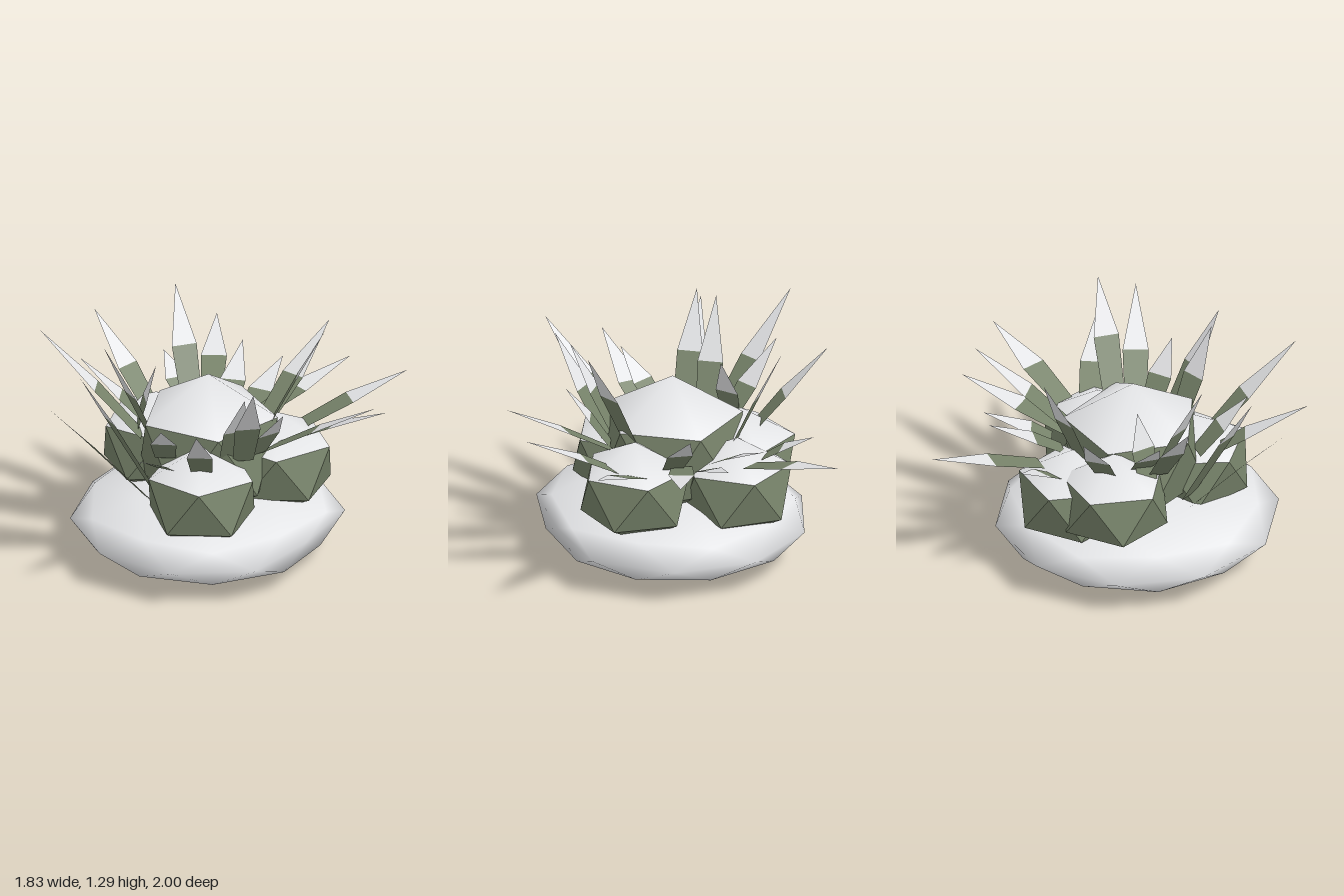
import * as THREE from 'three';
import { mergeVertices } from 'three/addons/utils/BufferGeometryUtils.js';

const snow = new THREE.MeshStandardMaterial({ color: 0xe6e7e9, side: THREE.DoubleSide });
snow.name = 'snow';
const leaf = new THREE.MeshStandardMaterial({ color: 0x77836a, side: THREE.DoubleSide });
leaf.name = 'leafGreen';

// Icosahedron standing on a corner, one upper-ring corner towards +x
function uprightIcosahedron(detail) {
  const geo = new THREE.IcosahedronGeometry(1, detail);
  geo.rotateZ(-Math.atan(2 / (1 + Math.sqrt(5))));
  return geo;
}

function geometryFrom(points) {
  const geo = new THREE.BufferGeometry();
  geo.setAttribute('position', new THREE.Float32BufferAttribute(points, 3));
  geo.computeVertexNormals();
  return geo;
}

function addMesh(parent, name, geo, material) {
  const mesh = new THREE.Mesh(geo, material);
  mesh.name = name;
  parent.add(mesh);
  return mesh;
}

// Flattened snow mound, with one rim corner pulled in
function makeMound() {
  const geo = uprightIcosahedron(1);
  const p = geo.attributes.position;
  for (let i = 0; i < p.count; i++) {
    if (p.getX(i) > 0.9 && p.getZ(i) > 0.25 && Math.abs(p.getY(i)) < 0.1) {
      p.setXYZ(i, p.getX(i) * 0.86, p.getY(i), p.getZ(i) * 0.86);
    }
  }
  return geo.scale(0.715, 0.2, 0.75);
}

// Faceted green bush with a smooth snow cap on its top five faces
function makeBush(x, y, z, radius, height, degrees) {
  const bush = new THREE.Group();
  bush.name = 'bush';
  const geo = uprightIcosahedron(0);
  geo.rotateY(-THREE.MathUtils.degToRad(degrees));
  const p = geo.attributes.position.array;
  const cap = [], body = [];
  for (let i = 0; i < p.length; i += 9) {
    const middle = (p[i + 1] + p[i + 4] + p[i + 7]) / 3;
    const target = middle > 0.5 ? cap : body;
    for (let k = 0; k < 9; k += 3) {
      target.push(p[i + k] * radius, p[i + k + 1] * height, p[i + k + 2] * radius);
    }
  }
  const capGeo = geometryFrom(cap);
  capGeo.deleteAttribute('normal');
  const smoothCap = mergeVertices(capGeo, 1e-4);
  smoothCap.computeVertexNormals();
  addMesh(bush, 'bushSnowCap', smoothCap, snow);
  addMesh(bush, 'bushBody', geometryFrom(body), leaf);
  bush.position.set(x, y, z);
  return bush;
}

// Flat blade: green strip from the root to the knee, then a snowy point
function makeBlade([rootX, rootZ], tip, knee = 0.45, rootY = 0.64) {
  const blade = new THREE.Group();
  blade.name = 'blade';
  const a = new THREE.Vector3(rootX, rootY, rootZ);
  const c = new THREE.Vector3(...tip);
  const b = a.clone().lerp(c, knee);
  b.y += 0.01;
  const dir = c.clone().sub(a);
  const side = new THREE.Vector3(dir.z, 0, -dir.x).normalize();
  const at = (v, s) => v.clone().addScaledVector(side, s).toArray();
  const a0 = at(a, -0.055), a1 = at(a, 0.055);
  const b0 = at(b, -0.068), b1 = at(b, 0.068);
  addMesh(blade, 'bladeStem', geometryFrom([a0, b1, a1, a0, b0, b1].flat()), leaf);
  addMesh(blade, 'bladeTip', geometryFrom([b0, c.toArray(), b1].flat()), snow);
  return blade;
}

export function createModel() {
  const model = new THREE.Group();
  model.name = 'snowyBush';

  addMesh(model, 'snowMound', makeMound(), snow).position.set(-0.05, 0.2, 0.13);

  // Tall middle bush with lower ones around it
  const bushes = [
    [-0.05, 0.6, 0.11, 0.41, 0.4, -77],
    [0, 0.46, 0.44, 0.32, 0.28, 78],
    [0.29, 0.485, -0.02, 0.32, 0.275, 5],
    [-0.375, 0.51, -0.05, 0.315, 0.275, 144],
    [-0.21, 0.455, -0.24, 0.315, 0.275, 0],
  ];
  for (const b of bushes) model.add(makeBush(...b));

  const blades = new THREE.Group();
  blades.name = 'blades';
  model.add(blades);

  // Blades as root (x, z), tip and, where it differs, where the snow begins
  const backAndLeft = [
    [[-0.17, -0.4], [-0.3, 0.81, -1.0]],
    [[-0.05, -0.26], [-0.07, 0.84, -0.66], 0.38],
    [[0.07, -0.3], [0.15, 0.78, -0.65], 0.3],
    [[0.12, -0.2], [0.5, 0.8, -0.7]],
    [[0.18, -0.2], [0.4, 1.02, -0.65], 0.42],
    [[-0.3, -0.35], [-0.47, 0.78, -0.56], 0.35],
    [[-0.21, -0.18], [-0.37, 1.24, -0.42], 0.5],
    [[0.38, -0.17], [0.87, 0.87, -0.47]],
    [[0.42, -0.04], [0.91, 0.89, 0.1], 0.36],
    [[0.22, 0.07], [0.56, 1.29, 0.03], 0.56],
    [[0.28, 0.18], [0.9, 1.0, 0.29]],
    [[0.25, 0.25], [0.43, 0.95, 0.4]],
  ];
  const frontAndRight = [
    [[0.2, 0.35], [0.33, 1.16, 0.63]],
    [[0.13, 0.38], [0.27, 1.1, 0.58]],
    [[0.03, 0.55], [0.12, 1.06, 1.0], 0.37],
    [[-0.17, 0.55], [-0.25, 0.89, 1.0], 0.28],
    [[-0.2, 0.42], [-0.15, 0.92, 0.7]],
    [[-0.33, 0.2], [-0.54, 1.22, 0.39]],
    [[-0.39, 0.18], [-0.92, 1.21, 0.25]],
    [[-0.35, 0.08], [-0.74, 1.02, 0.13]],
    [[-0.39, -0.08], [-0.77, 1.11, -0.28]],
    [[-0.44, 0.12], [-0.34, 1.0, 0.08]],
  ];
  for (const b of [...backAndLeft, ...frontAndRight]) blades.add(makeBlade(...b));

  // Two long blades rising from between the bushes
  blades.add(makeBlade([-0.3, 0.36], [-0.73, 1.02, 0.78], 0.62, 0.36));
  blades.add(makeBlade([-0.28, 0.36], [-0.6, 1.15, 0.64], 0.6, 0.42));

  return model;
}
